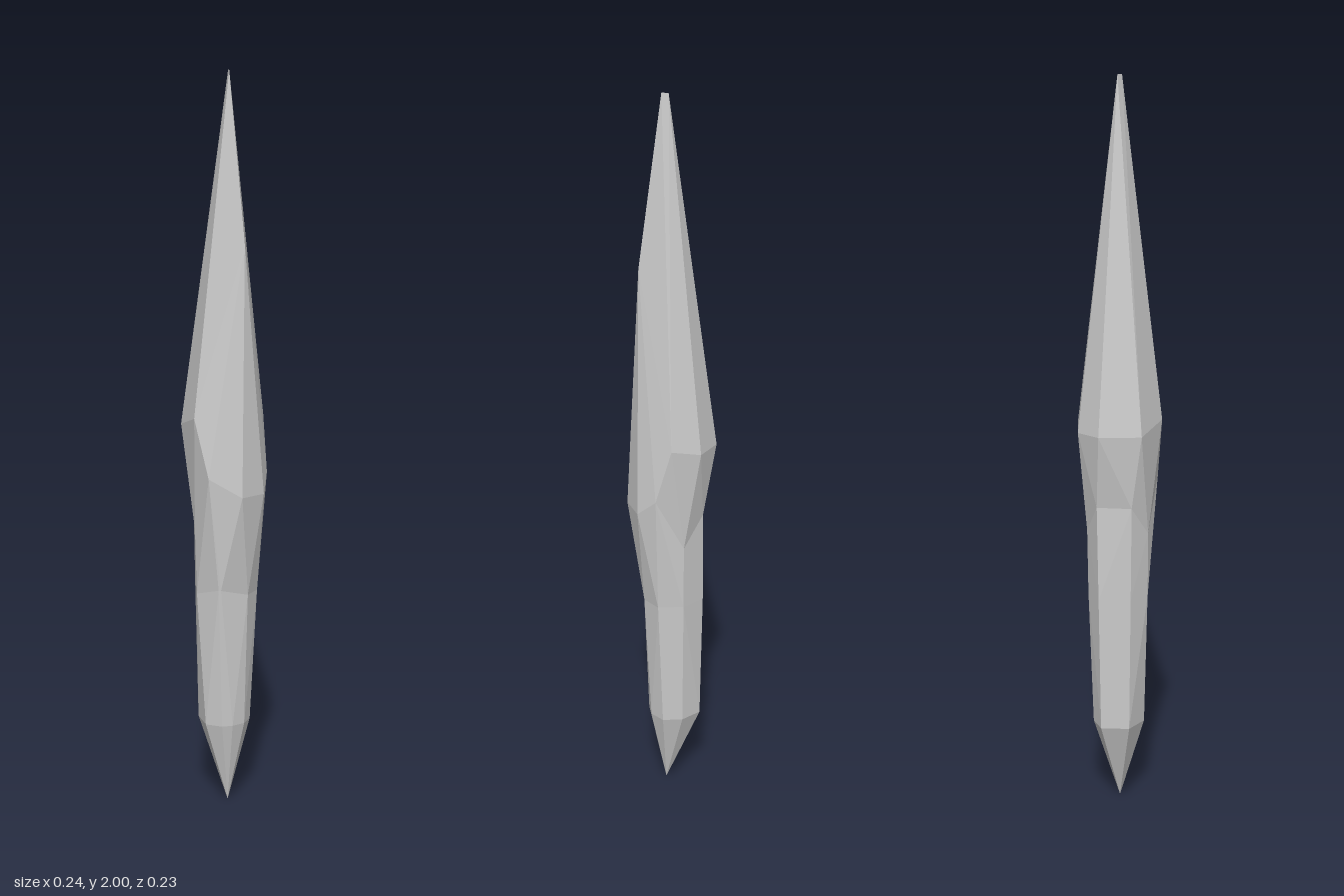
import * as THREE from 'three';

// Cross-sections from bottom to top; eight corners each, running from +x towards +z.
// Repeated corners let facets merge into a single edge or point.
const tip = [0.015, 0, 0];
const apexL = [0.025, 2, 0.003], apexR = [0.008, 2, -0.006];
const shoulder = [0.087, 1.55, -0.002], frontRight = [-0.09, 1.06, 0.08];
const rings = [
  Array(8).fill(tip),
  // foot
  [[0.062, 0.23, 0.018], [0.05, 0.23, 0.045], [0.008, 0.23, 0.07], [-0.065, 0.23, 0.042],
    [-0.076, 0.23, -0.035], [-0.02, 0.23, -0.068], [0.035, 0.23, -0.062], [0.062, 0.23, -0.022]],
  // lower shaft
  [[0.065, 0.62, 0.06], [0.06, 0.62, 0.064], [-0.014, 0.6, 0.083], [-0.072, 0.6, 0.047],
    [-0.082, 0.6, -0.04], [-0.02, 0.6, -0.082], [0.05, 0.6, -0.075], [0.08, 0.6, -0.02]],
  // waist
  [[0.118, 0.88, 0.028], [0.06, 0.93, 0.097], [-0.02, 0.78, 0.085], [-0.075, 0.86, 0.05],
    [-0.08, 0.86, -0.045], [-0.02, 0.78, -0.085], [0.06, 0.93, -0.1], [0.103, 0.88, -0.056]],
  // widest part of the blade
  [shoulder, [0.02, 1.09, 0.115], frontRight, frontRight,
    [-0.118, 1.06, -0.032], [-0.063, 1.06, -0.1], [0.02, 1.08, -0.118], shoulder],
  // narrow top edge
  [apexL, apexL, apexR, apexR, apexR, apexR, apexR, apexL],
].map(ring => ring.map(p => new THREE.Vector3(...p)));

function facetedSkin(rings) {
  const out = [];
  const addTriangle = (...pts) => {
    if (new THREE.Triangle(...pts).getArea() > 1e-7) pts.forEach(p => out.push(p.x, p.y, p.z));
  };
  for (let i = 0; i < rings.length - 1; i++) {
    for (let j = 0; j < 8; j++) {
      const k = (j + 1) % 8;
      const a = rings[i][j], b = rings[i][k], c = rings[i + 1][j], d = rings[i + 1][k];
      // Split each quad along the diagonal that bulges outwards
      const normal = d.clone().sub(a).cross(b.clone().sub(c));
      const bulge = a.clone().add(d).sub(b).sub(c).dot(normal);
      if (bulge >= 0) {
        addTriangle(a, c, d);
        addTriangle(a, d, b);
      } else {
        addTriangle(a, c, b);
        addTriangle(c, d, b);
      }
    }
  }
  const geometry = new THREE.BufferGeometry();
  geometry.setAttribute('position', new THREE.Float32BufferAttribute(out, 3));
  geometry.computeVertexNormals();
  return geometry;
}

export function createModel() {
  const group = new THREE.Group();
  group.name = 'crystalShard';
  const material = new THREE.MeshStandardMaterial({ color: 0xcccccc, flatShading: true });
  const shard = new THREE.Mesh(facetedSkin(rings), material);
  shard.name = 'shard';
  group.add(shard);
  return group;
}
